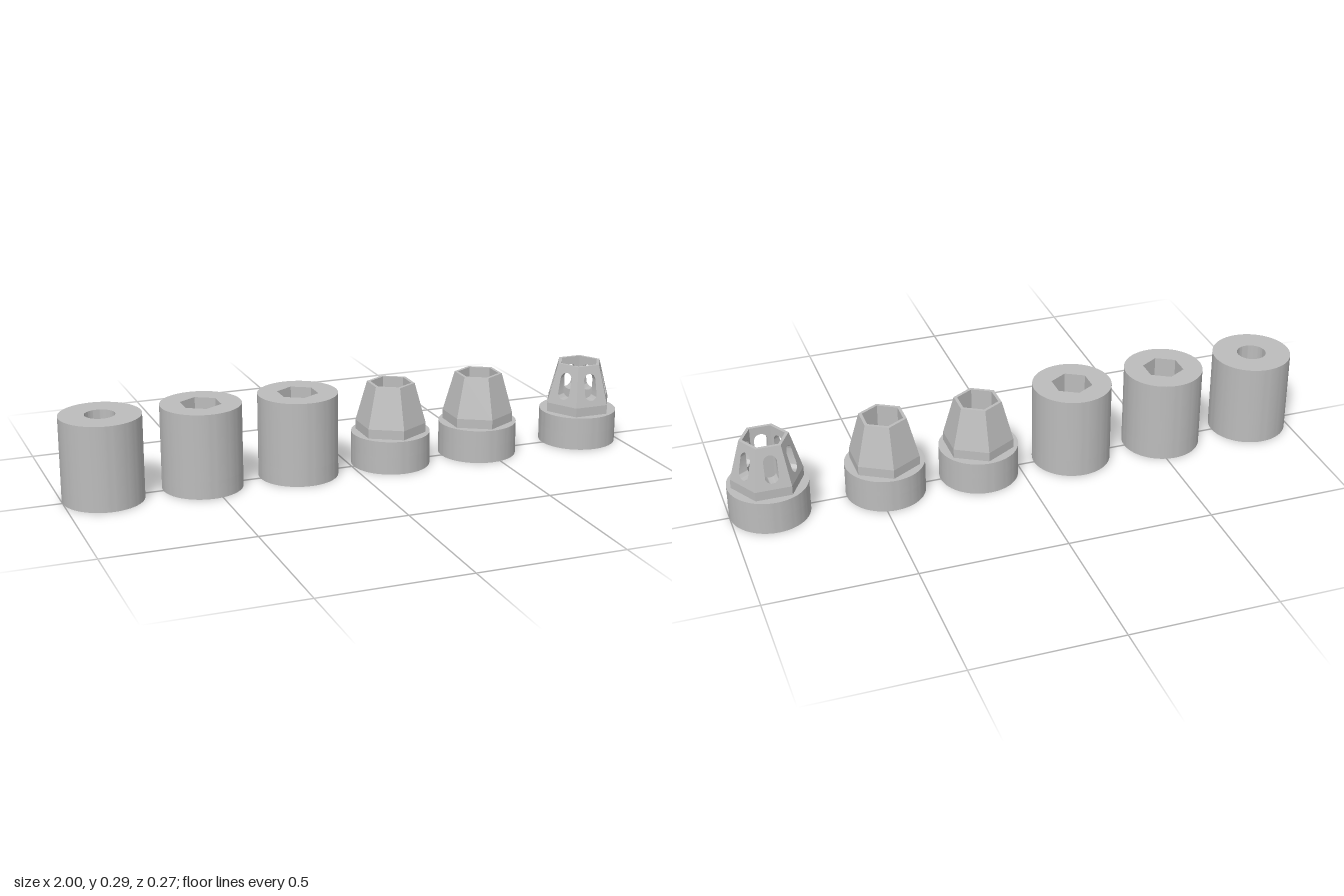
import * as THREE from 'three';
import { toCreasedNormals } from 'three/addons/utils/BufferGeometryUtils.js';

const R = 0.135, BORE = 0.05, SOCKET = 0.07;          // collar, round bore, hex socket radii
const FLOOR = 0.06, COLLAR = 0.115, KINK = 0.147, TOP = 0.287;
const CONE_LOW = 0.1215, CONE_TOP = 0.082;            // hexagon corner radii of the cone
const COS30 = Math.cos(Math.PI / 6), TAN30 = Math.tan(Math.PI / 6);

const grey = new THREE.MeshStandardMaterial({ color: 0xbcbcbc });
grey.name = 'plain grey';

function add(parent, name, geometry) {
  const mesh = new THREE.Mesh(geometry, grey);
  mesh.name = name;
  parent.add(mesh);
  return mesh;
}

// Upright disc with a round or hexagonal hole
function disc(y0, y1, hex, turn = 0) {
  const shape = new THREE.Shape().absarc(0, 0, R, 0, Math.PI * 2, false);
  const hole = new THREE.Path();
  if (hex) {
    const corners = [];
    for (let i = 0; i <= 6; i++) {
      const a = Math.PI / 2 + turn - i * Math.PI / 3;
      corners.push(new THREE.Vector2(SOCKET * Math.cos(a), SOCKET * Math.sin(a)));
    }
    hole.setFromPoints(corners);
  } else hole.absarc(0, 0, BORE, 0, Math.PI * 2, true);
  shape.holes.push(hole);
  const g = new THREE.ExtrudeGeometry(shape, { depth: y1 - y0, bevelEnabled: false, curveSegments: 48 });
  g.rotateX(-Math.PI / 2).translate(0, y0, 0);
  return toCreasedNormals(g, Math.PI / 6);
}

// Six-sided flat-shaded surface from a profile of [radius, height]
function hexLathe(profile, turn = 0) {
  const g = new THREE.LatheGeometry(profile.map(p => new THREE.Vector2(...p)), 6).toNonIndexed();
  g.computeVertexNormals();
  return g.rotateY(turn);
}

// One sloping side of the vented cone, with a slot cut straight through
function ventPanel() {
  const h0 = CONE_LOW / 2, h1 = CONE_TOP / 2, slot = 0.0225;
  const shape = new THREE.Shape([[-h0, KINK], [h0, KINK], [h1, TOP], [-h1, TOP]].map(p => new THREE.Vector2(...p)));
  const hole = new THREE.Path();
  hole.absarc(0, 0.26 - slot, slot, 0, Math.PI, false);
  hole.absarc(0, 0.167 + slot, slot, Math.PI, Math.PI * 2, false);
  hole.closePath();
  shape.holes.push(hole);
  const g = new THREE.ExtrudeGeometry(shape, { depth: 1, bevelEnabled: false, curveSegments: 12 });
  const p = g.attributes.position;
  for (let i = 0; i < p.count; i++) {
    const x = p.getX(i), t = (p.getY(i) - KINK) / (TOP - KINK);
    const outer = COS30 * (CONE_LOW + (CONE_TOP - CONE_LOW) * t);
    const z = p.getZ(i) > 0.5 ? outer : COS30 * SOCKET;
    p.setZ(i, z);
    if (Math.abs(x) > 0.03) p.setX(i, Math.sign(x) * z * TAN30);   // mitre the panel edges
  }
  return toCreasedNormals(g, Math.PI / 6);
}

function piece(parent, name, x) {
  const g = new THREE.Group();
  g.name = name;
  g.position.x = x;
  parent.add(g);
  return g;
}

export function createModel() {
  const model = new THREE.Group();
  model.name = 'nozzleSet';

  // Plain round-bored cylinder
  add(piece(model, 'boredCylinder', -0.865), 'body', disc(0, TOP, false));

  // Cylinders with a hexagonal socket above the round bore
  for (const x of [-0.53, -0.194]) {
    const g = piece(model, 'socketCylinder', x);
    add(g, 'base', disc(0, FLOOR, false));
    add(g, 'socketBody', disc(FLOOR, TOP, true));
  }

  // Collars with a solid-sided hexagonal cone
  for (const x of [0.142, 0.47]) {
    const g = piece(model, 'hexCone', x);
    add(g, 'base', disc(0, FLOOR, false));
    add(g, 'collar', disc(FLOOR, COLLAR, true));
    add(g, 'cone', hexLathe([[CONE_LOW, COLLAR], [CONE_LOW, KINK], [CONE_TOP, TOP], [SOCKET, TOP], [SOCKET, COLLAR]]));
  }

  // Collar with a slotted hexagonal cone, turned flat side forward
  const turn = Math.PI / 6;
  const vented = piece(model, 'ventedCone', 0.865);
  add(vented, 'base', disc(0, FLOOR, false));
  add(vented, 'collar', disc(FLOOR, COLLAR, true, turn));
  add(vented, 'coneFootOutside', hexLathe([[CONE_LOW, COLLAR], [CONE_LOW, KINK]], turn));
  add(vented, 'coneFootInside', hexLathe([[SOCKET, KINK], [SOCKET, COLLAR]], turn));
  const panel = ventPanel();
  for (let i = 0; i < 6; i++) add(vented, 'slottedPanel', panel).rotation.y = i * Math.PI / 3;

  return model;
}
